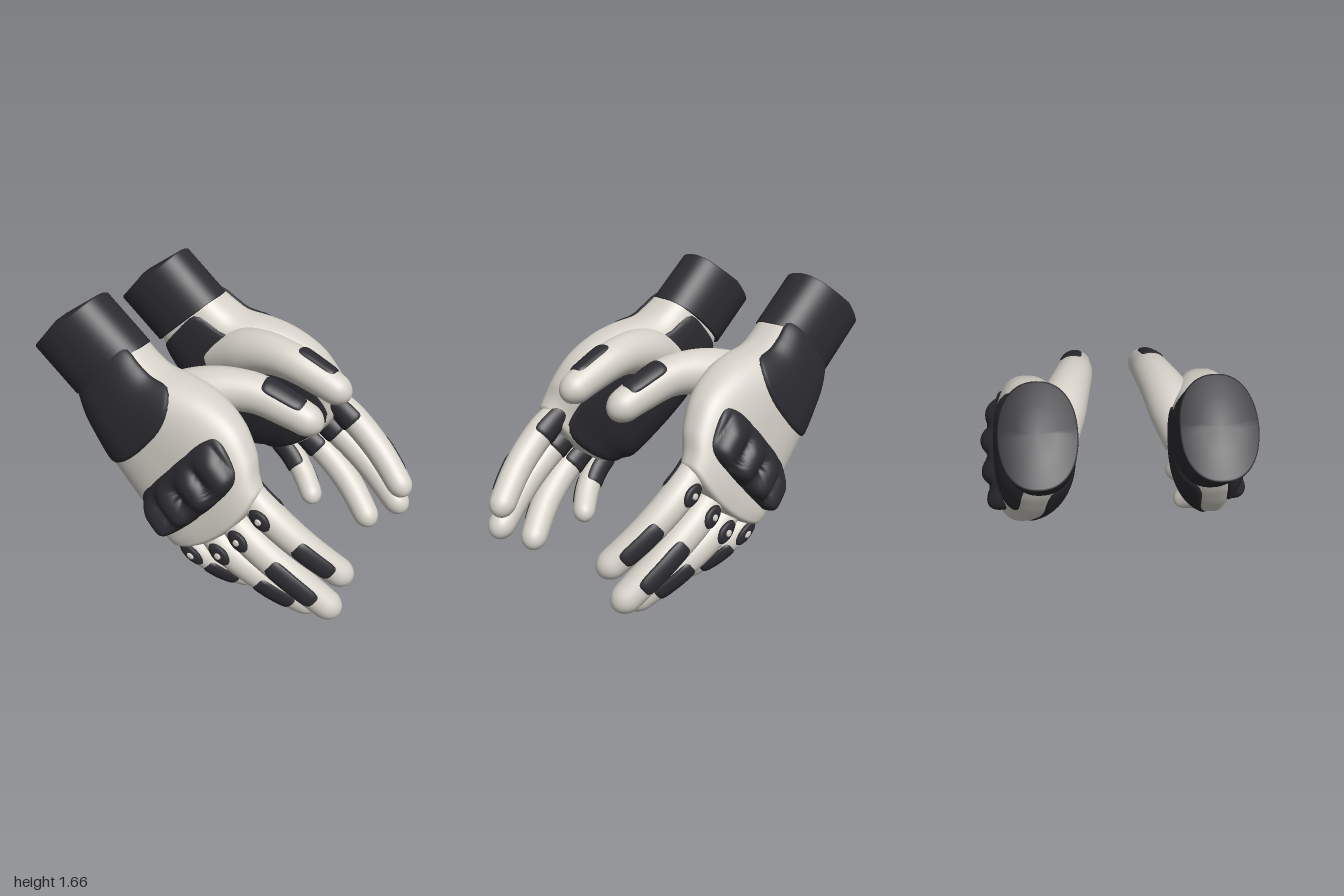
import * as THREE from 'three';
import { mergeVertices } from 'three/addons/utils/BufferGeometryUtils.js';

const light = new THREE.MeshStandardMaterial({ color: 0xd6d2c9 });
const dark = new THREE.MeshStandardMaterial({ color: 0x2c2b30 });
const TILT = -0.73; // the gloves slope down towards the fingertips
const PI = Math.PI;
const V = (x, y, z) => new THREE.Vector3(x, y, z);
const spow = (c, p) => Math.sign(c) * Math.abs(c) ** p;
const { lerp, clamp, smoothstep } = THREE.MathUtils;

// Smooth sheet from a point function f(a, b); side -1 mirrors it in z
function sheet(f, n, m, side) {
  const pos = [], idx = [];
  for (let i = 0; i <= n; i++) for (let j = 0; j <= m; j++) {
    const p = f(i / n, j / m);
    pos.push(p.x, p.y, p.z * side);
    if (i < n && j < m) {
      const a = i * (m + 1) + j, b = a + 1, c = a + m + 1, d = c + 1;
      idx.push(...(side > 0 ? [a, b, c, b, d, c] : [a, c, b, b, c, d]));
    }
  }
  let g = new THREE.BufferGeometry();
  g.setAttribute('position', new THREE.Float32BufferAttribute(pos, 3));
  g.setIndex(idx);
  g = mergeVertices(g, 1e-5);
  g.computeVertexNormals();
  return g;
}

// Closed skin over a surface S(t, angle, offset), denser near the end
const skin = (S, t0, t1, n, m, side) =>
  sheet((a, b) => S(t0 + (t1 - t0) * (1 - (1 - a) ** 1.7), b * 2 * PI, 0), n, m, side);

// Raised pad on a surface: corner 2 is an oval, higher is squarer; edge sets how abruptly it drops
function pad(S, tc, ht, ac, ha, height, side, corner = 6, rings = 8, edge = 12) {
  return sheet((r, b) => {
    const c = Math.cos(b * 2 * PI), s = Math.sin(b * 2 * PI);
    const k = r / (Math.abs(c) ** corner + Math.abs(s) ** corner) ** (1 / corner);
    const t = tc + ht * k * c, ang = ac + ha * k * s;
    const h = typeof height === 'function' ? height(S(t, ang, 0)) : height;
    return S(t, ang, (h + 0.006) * (1 - r ** edge) - 0.006);
  }, rings, 64, side);
}

// Hand cross-sections: position, v min, v max, z min, z max
const sections = [
  [-1.27, 0.34, 0.8, 0.3, 0.6], [-1.2, 0.315, 0.83, 0.27, 0.635], [-1.1, 0.28, 0.84, 0.265, 0.665],
  [-1.0, 0.255, 0.86, 0.268, 0.68], [-0.86, 0.225, 0.95, 0.28, 0.70], [-0.72, 0.21, 1.02, 0.305, 0.71],
  [-0.5, 0.2, 1.06, 0.365, 0.725], [-0.32, 0.2, 1.02, 0.43, 0.745], [-0.2, 0.22, 0.97, 0.485, 0.76],
  [-0.08, 0.24, 0.93, 0.52, 0.755],
];
const handCurve = new THREE.CubicInterpolant(
  sections.map(s => s[0]), sections.flatMap(s => s.slice(1)), 4);
const HAND_END = -0.1;
function hand(u, ang, off) {
  const [v0, v1, z0, z1] = handCurve.evaluate(clamp(u, -1.27, HAND_END));
  const e = clamp((u - HAND_END + 0.05) / 0.05, 0, 1);
  const k = Math.sqrt(1 - e ** 4);
  const v = (v0 + v1) / 2 + ((v1 - v0) / 2 + off) * k * spow(Math.cos(ang), 0.77);
  const z = (z0 + z1) / 2 + ((z1 - z0) / 2 + off) * k * spow(Math.sin(ang), 0.77);
  const end = smoothstep(u, -0.35, HAND_END);
  return V(u - 0.07 * end * ((v - 0.68) / 0.35) ** 2, v, z);
}
// Same surface with the strap's edge swept back towards both sides of the wrist
const strap = (u, ang, off) => {
  const c = Math.cos(ang);
  return hand(u - (c > 0 ? 0.17 : 0.09) * c * c * smoothstep(u, -1.2, -0.74), ang, off);
};

// Cuff rows: [scale of the oval, fraction along]; the open end is bent, the wrist end slanted
const cuffRows = [[0, 0], [0.5, 0], [0.96, 0], [1, 0.02], [1, 0.5], [1, 0.98], [0.96, 1], [0, 1]];
function cuff(a, b) {
  const [k, f] = cuffRows[Math.round(a * (cuffRows.length - 1))];
  const dv = 0.275 * k * spow(Math.cos(b * 2 * PI), 0.88);
  const dz = 0.198 * k * spow(Math.sin(b * 2 * PI), 0.88);
  const top = -1.612 + 0.27 * Math.max(0, dv) + 0.9 * dz * dz, wrist = -1.2 + 0.13 * dv;
  return V(lerp(top, wrist, f), 0.57 + dv, 0.447 + dz);
}

// Round-tipped finger swept along a curve with changing radius
function finger(points, radii, ref) {
  const curve = new THREE.CatmullRomCurve3(points);
  const tip = radii.at(-1) * 1.2 / curve.getLength();
  return (t, ang, off) => {
    t = clamp(t, 0, 1);
    const p = curve.getPointAt(t), T = curve.getTangentAt(t);
    const A = ref.clone().addScaledVector(T, -ref.dot(T)).normalize();
    const B = T.clone().cross(A);
    const f = t * (radii.length - 1), i = Math.min(Math.floor(f), radii.length - 2);
    let r = lerp(radii[i], radii[i + 1], f - i) + off;
    const e = Math.max(0, (t - 1 + tip) / tip);
    r *= Math.sqrt(Math.max(0, 1 - e * e));
    return p.addScaledVector(A, r * Math.cos(ang)).addScaledVector(B, r * Math.sin(ang));
  };
}

// path, radii, knuckle dot position, pad centre, pad half length, pad tilt
const fingers = [
  { name: 'index', path: [[-0.35, 0.85, 0.57], [-0.1, 0.86, 0.62], [0.2, 0.872, 0.59], [0.535, 0.87, 0.475]],
    radii: [0.07, 0.092, 0.086, 0.078], dot: -0.058, pad: 0.275, half: 0.125, lean: 0.3 },
  { name: 'middle', path: [[-0.35, 0.67, 0.6], [-0.05, 0.685, 0.66], [0.25, 0.71, 0.645], [0.635, 0.72, 0.56]],
    radii: [0.07, 0.094, 0.09, 0.08], dot: -0.033, pad: 0.31, half: 0.16, lean: 0.25 },
  { name: 'ring', path: [[-0.35, 0.49, 0.6], [-0.05, 0.505, 0.65], [0.25, 0.53, 0.595], [0.57, 0.535, 0.45]],
    radii: [0.07, 0.092, 0.088, 0.078], dot: -0.05, pad: 0.29, half: 0.115, lean: 0 },
  { name: 'little', path: [[-0.4, 0.32, 0.58], [-0.15, 0.315, 0.63], [0.02, 0.315, 0.58], [0.235, 0.315, 0.44]],
    radii: [0.06, 0.079, 0.076, 0.068], dot: -0.15, pad: 0.025, half: 0.095, lean: 0 },
];

function glove(side) {
  const group = new THREE.Group();
  group.name = side > 0 ? 'frontGlove' : 'backGlove';
  group.rotation.z = TILT;
  const add = (name, geometry, material) => {
    const mesh = new THREE.Mesh(geometry, material);
    mesh.name = name;
    group.add(mesh);
  };

  // Cuff, hand, wrist strap, palm patch and ridged knuckle guard
  add('cuff', sheet(cuff, cuffRows.length - 1, 64, side), dark);
  add('hand', skin(hand, -1.27, HAND_END, 70, 72, side), light);
  add('wristStrap', pad(strap, -1.0, 0.26, PI * 0.5, PI * 0.39, 0.012, side, 10, 24, 30), dark);
  add('palmPatch', pad(hand, -0.65, 0.547, PI * 1.37, PI * 0.33, 0.01, side, 8, 28, 30), dark);
  const ridge = p => (0.022 + 0.055 * Math.abs(Math.sin(PI * (p.y - 0.275) / 0.165)) ** 0.8)
    * smoothstep(p.x, -0.62, -0.43) * (1 - 0.4 * smoothstep(p.y, 0.7, 0.95));
  add('knuckleGuard', pad(hand, -0.42, 0.155, PI / 2, 0.92, p => 0.006 + ridge(p), side, 5, 28, 6), dark);

  // Fingers with dots, pads and dark undersides
  for (const f of fingers) {
    const S = finger(f.path.map(p => V(...p)), f.radii, V(0, 1, 0));
    const u0 = f.path[0][0], len = f.path[3][0] - u0;
    const at = u => (u - u0) / len;
    add(f.name + 'Finger', skin(S, 0, 1, 30, 28, side), light);
    add(f.name + 'KnuckleDot', pad(S, at(f.dot), 0.065 / len, PI / 2, 0.58, 0.012, side, 2), dark);
    add(f.name + 'DotCentre', pad(S, at(f.dot), 0.02 / len, PI / 2, 0.2, 0.02, side, 2, 4), light);
    add(f.name + 'Pad', pad(S, at(f.pad), f.half / len, PI / 2 - f.lean, 0.7, 0.008, side), dark);
    add(f.name + 'Underside', pad(S, at(-0.13), 0.12 / len, PI * 1.5, PI * 0.4, 0.008, side, 8), dark);
  }

  // Thumb and its mound, laid out upright and turned into the glove's frame
  const thumbPath = [[-0.28, 1.03, 0.4], [0.04, 1.15, 0.295], [0.26, 1.16, 0.24], [0.47, 1.095, 0.22], [0.665, 1.015, 0.205]]
    .map(p => V(...p).applyAxisAngle(V(0, 0, 1), -TILT));
  const thumb = finger(thumbPath, [0.15, 0.148, 0.12, 0.103, 0.086], V(0, 0, -1));
  add('thumb', skin(thumb, 0, 1, 34, 32, side), light);
  add('thumbPad', pad(thumb, 0.74, 0.125, PI / 2 + 0.2, 0.7, 0.008, side), dark);
  return group;
}

export function createModel() {
  const model = new THREE.Group();
  model.name = 'glovePair';
  model.add(glove(1), glove(-1));
  return model;
}
